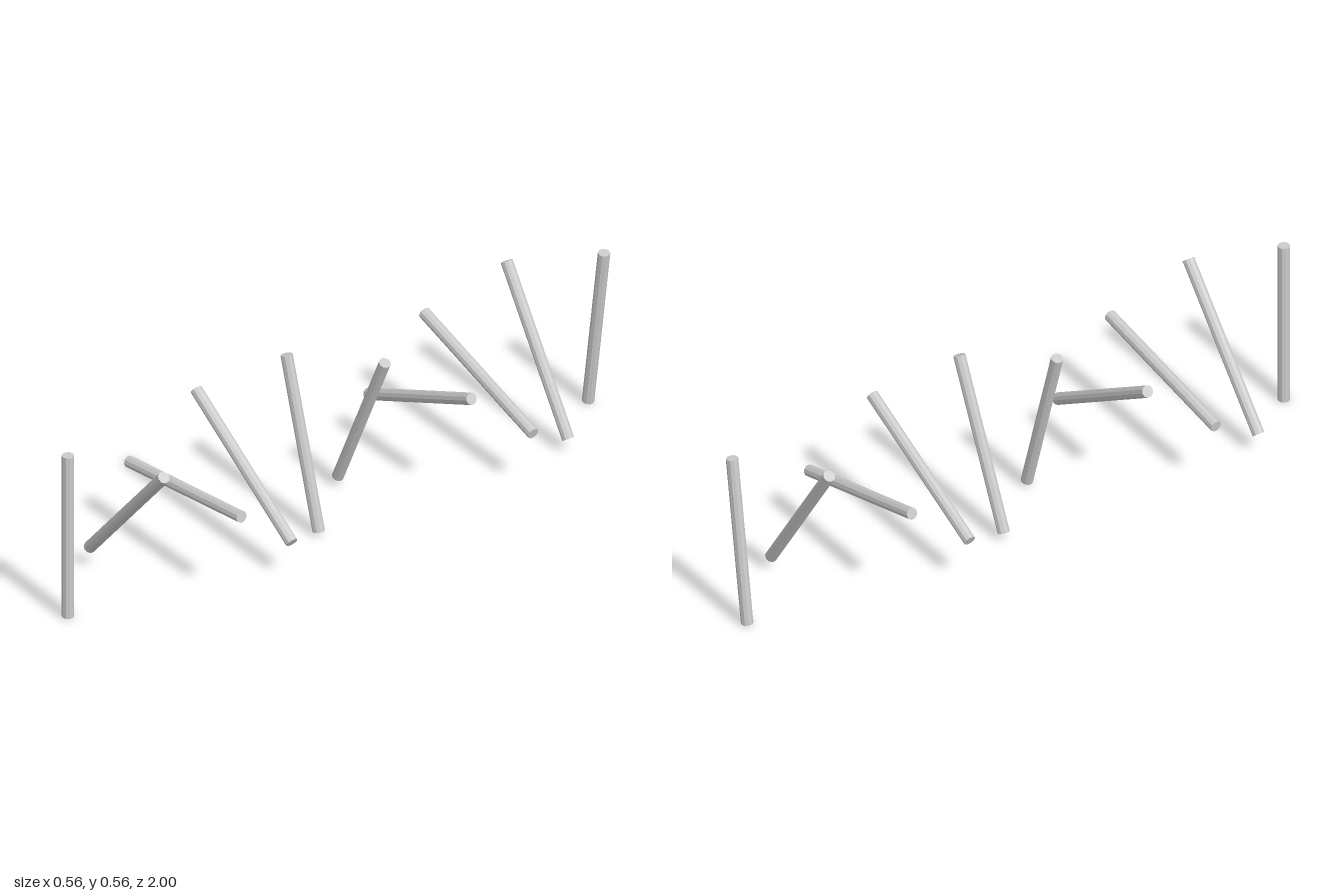
import * as THREE from 'three';

const COUNT = 10;
const LENGTH = 0.56;
const RADIUS = 0.0187;
const TWIST = THREE.MathUtils.degToRad(40.9); // turn from one rod to the next

export function createModel() {
  const model = new THREE.Group();
  model.name = 'twistedRodRow';

  const material = new THREE.MeshStandardMaterial({ color: 0xcccccc, flatShading: true });
  const rodGeometry = new THREE.CylinderGeometry(RADIUS, RADIUS, LENGTH, 10);

  // Equal rods in a row from front to back, each turned clockwise about the z axis
  const zFront = 1 - RADIUS;
  for (let i = 0; i < COUNT; i++) {
    const rod = new THREE.Mesh(rodGeometry, material);
    rod.name = `rod${i + 1}`;
    rod.position.set(0, LENGTH / 2, zFront - (2 * zFront * i) / (COUNT - 1));
    rod.rotation.z = -i * TWIST;
    model.add(rod);
  }
  return model;
}
